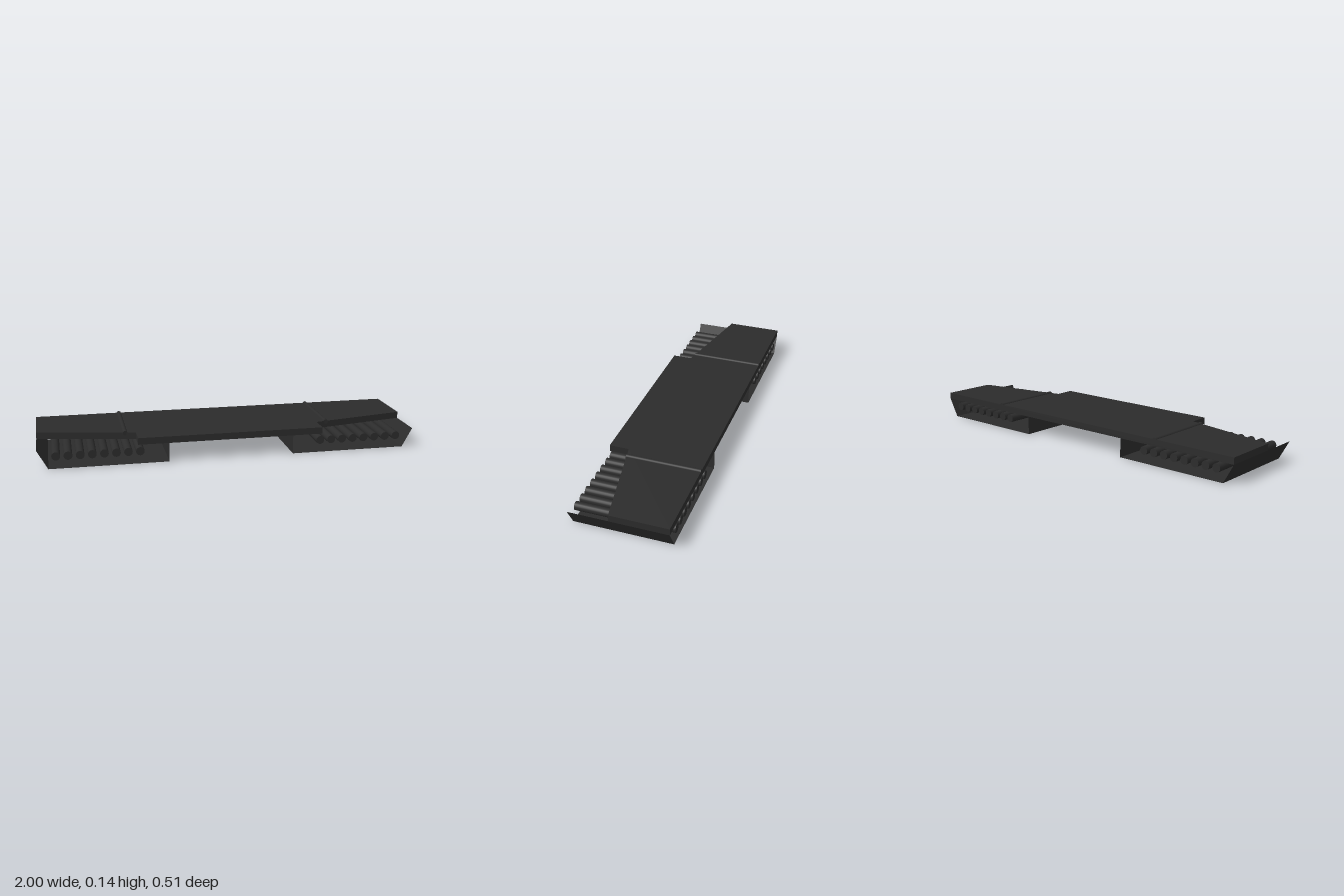
import * as THREE from 'three';

const DEPTH = 0.508;
const dark = new THREE.MeshStandardMaterial({ color: 0x2c2c2c });
const darkSheet = new THREE.MeshStandardMaterial({ color: 0x2c2c2c, side: THREE.DoubleSide, flatShading: true });

function add(parent, name, geometry, material = dark) {
  const mesh = new THREE.Mesh(geometry, material);
  mesh.name = name;
  parent.add(mesh);
  return mesh;
}

// Flat slab with a full-depth middle and front corners cut back on a slant
function deckGeometry() {
  const h = DEPTH / 2;
  const half = [[0.49, h], [0.49, 0.15], [1, 0.045], [1, -h]];
  const mirrored = half.map(([x, z]) => [-x, z]).reverse();
  const outline = [...half, ...mirrored].map(([x, z]) => new THREE.Vector2(x, -z));
  const geometry = new THREE.ExtrudeGeometry(new THREE.Shape(outline), { depth: 0.035, bevelEnabled: false });
  return geometry.rotateX(-Math.PI / 2).translate(0, 0.1, 0);
}

// Thin folded sheet: upright inner wall, flat floor, slanted outer wall
function trayGeometry(side) {
  const profile = [[0.33, 0.1], [0.33, 0], [0.945, 0], [1, 0.1]];
  const geometry = new THREE.PlaneGeometry(1, DEPTH, 3, 1).rotateX(-Math.PI / 2);
  const pos = geometry.attributes.position;
  for (let i = 0; i < pos.count; i++) {
    const [x, y] = profile[side > 0 ? i % 4 : 3 - (i % 4)];
    pos.setXY(i, side * x, y);
  }
  geometry.computeVertexNormals();
  return geometry;
}

function rod(radius, zBack, zFront) {
  return new THREE.CylinderGeometry(radius, radius, zFront - zBack, 20)
    .rotateX(Math.PI / 2)
    .translate(0, 0, (zBack + zFront) / 2);
}

export function createModel() {
  const model = new THREE.Group();
  add(model, 'deck', deckGeometry());

  for (const side of [1, -1]) {
    const end = new THREE.Group();
    end.name = side > 0 ? 'leftEnd' : 'rightEnd';
    add(end, 'tray', trayGeometry(side), darkSheet);

    // Row of rollers between the tray and the deck
    for (let i = 0; i < 8; i++) {
      add(end, 'roller', rod(0.022, -DEPTH / 2, DEPTH / 2)).position.set(side * (0.48 + i * 0.0608), 0.065, 0);
    }

    // Rounded rib half sunk into the deck
    add(end, 'rib', rod(0.0125, -DEPTH / 2, 0.14)).position.set(side * 0.545, 0.131, 0);
    model.add(end);
  }
  return model;
}
